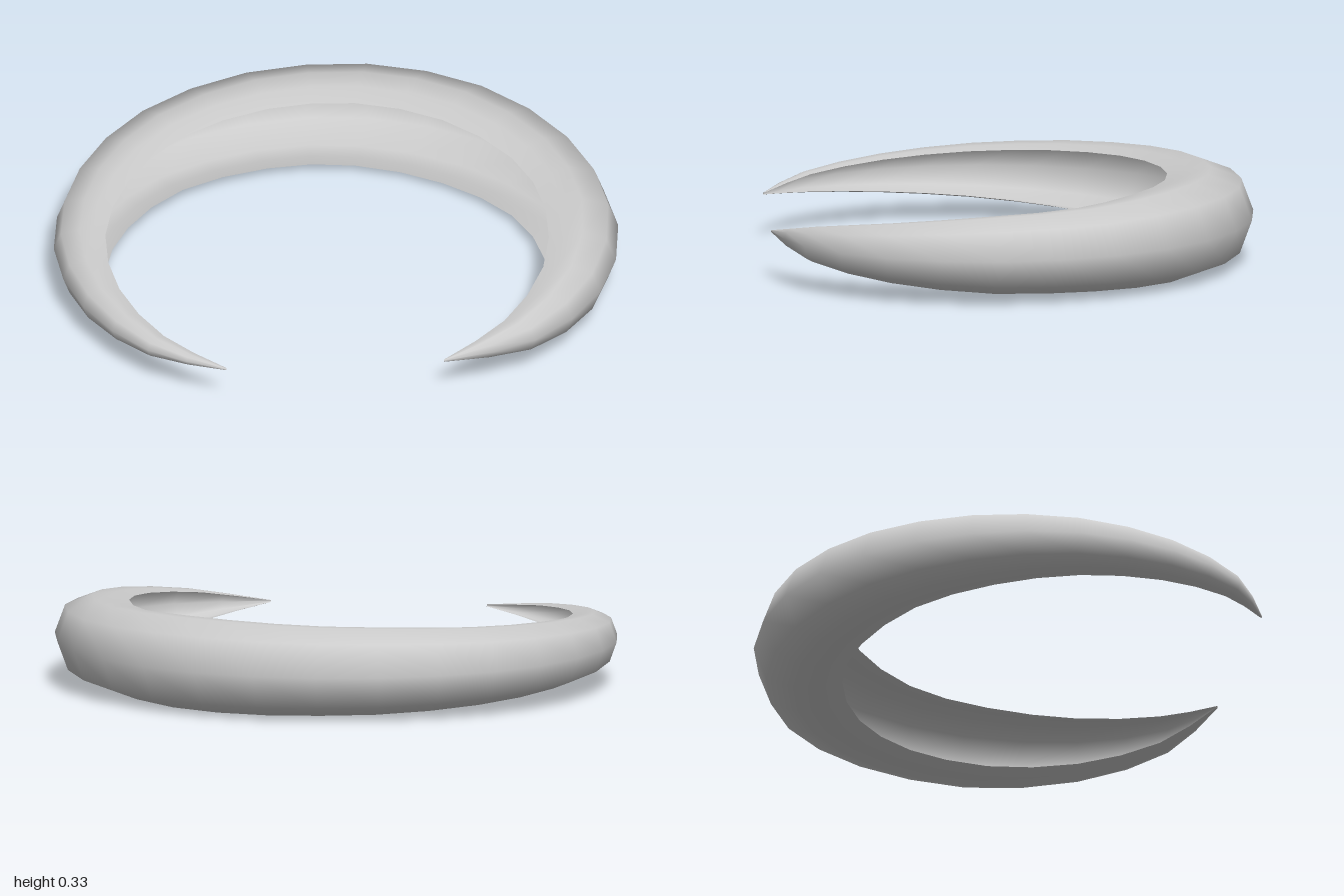
import * as THREE from 'three';

// Outer and inner rim of the crescent in plan: [outer x, outer z, inner x, inner z]
const RIMS = [
  [-0.44, 0.857, -0.44, 0.85],
  [-0.71, 0.72, -0.65, 0.68],
  [-0.92, 0.44, -0.79, 0.42],
  [-1.0, 0.08, -0.82, 0.12],
  [-0.91, -0.3, -0.72, -0.17],
  [-0.66, -0.63, -0.51, -0.41],
  [-0.27, -0.83, -0.2, -0.54],
  [0.18, -0.85, 0.11, -0.545],
  [0.59, -0.68, 0.41, -0.42],
  [0.88, -0.35, 0.64, -0.19],
  [1.0, 0.07, 0.74, 0.11],
  [0.91, 0.47, 0.71, 0.43],
  [0.66, 0.75, 0.555, 0.695],
  [0.33, 0.857, 0.33, 0.85],
];

// Upper half of the C-shaped section, inner edge to outermost point: [outward, up]
const HALF = [[-1, 0.84], [-0.5, 0.96], [0, 1], [0.72, 0.73], [1, 0]];
const SECTION = [...HALF, ...HALF.slice(0, -1).reverse().map(([u, v]) => [u, -v])];

const SEGMENTS = 26;
const MID_Y = 0.16;

function rimCurve(k) {
  return new THREE.CatmullRomCurve3(
    RIMS.map((r) => new THREE.Vector3(r[k], MID_Y, r[k + 1])), false, 'catmullrom', 0.5);
}

// Sweep the open section along the two rims; its height follows the rim spacing
function crescentGeometry() {
  const outer = rimCurve(0), inner = rimCurve(2);
  const positions = [], indices = [];
  const n = SECTION.length;
  for (let i = 0; i <= SEGMENTS; i++) {
    const a = outer.getPoint(i / SEGMENTS);
    const b = inner.getPoint(i / SEGMENTS);
    const centre = a.clone().add(b).multiplyScalar(0.5);
    const half = a.clone().sub(b).multiplyScalar(0.5);
    const height = half.length() * 1.03;
    for (const [u, v] of SECTION) {
      const p = centre.clone().addScaledVector(half, u);
      positions.push(p.x, p.y + v * height, p.z);
    }
  }
  for (let i = 0; i < SEGMENTS; i++) {
    for (let j = 0; j < n - 1; j++) {
      const p = i * n + j, q = p + n;
      indices.push(p, q, p + 1, q, q + 1, p + 1);
    }
  }
  const geometry = new THREE.BufferGeometry();
  geometry.setAttribute('position', new THREE.Float32BufferAttribute(positions, 3));
  geometry.setIndex(indices);
  geometry.computeVertexNormals();
  return geometry;
}

export function createModel() {
  const group = new THREE.Group();
  group.name = 'crescentRing';
  // Hollow band, open along its inner side
  const band = new THREE.Mesh(
    crescentGeometry(),
    new THREE.MeshStandardMaterial({ color: 0xcccccc, side: THREE.DoubleSide }));
  band.name = 'crescentBand';
  group.add(band);
  return group;
}
